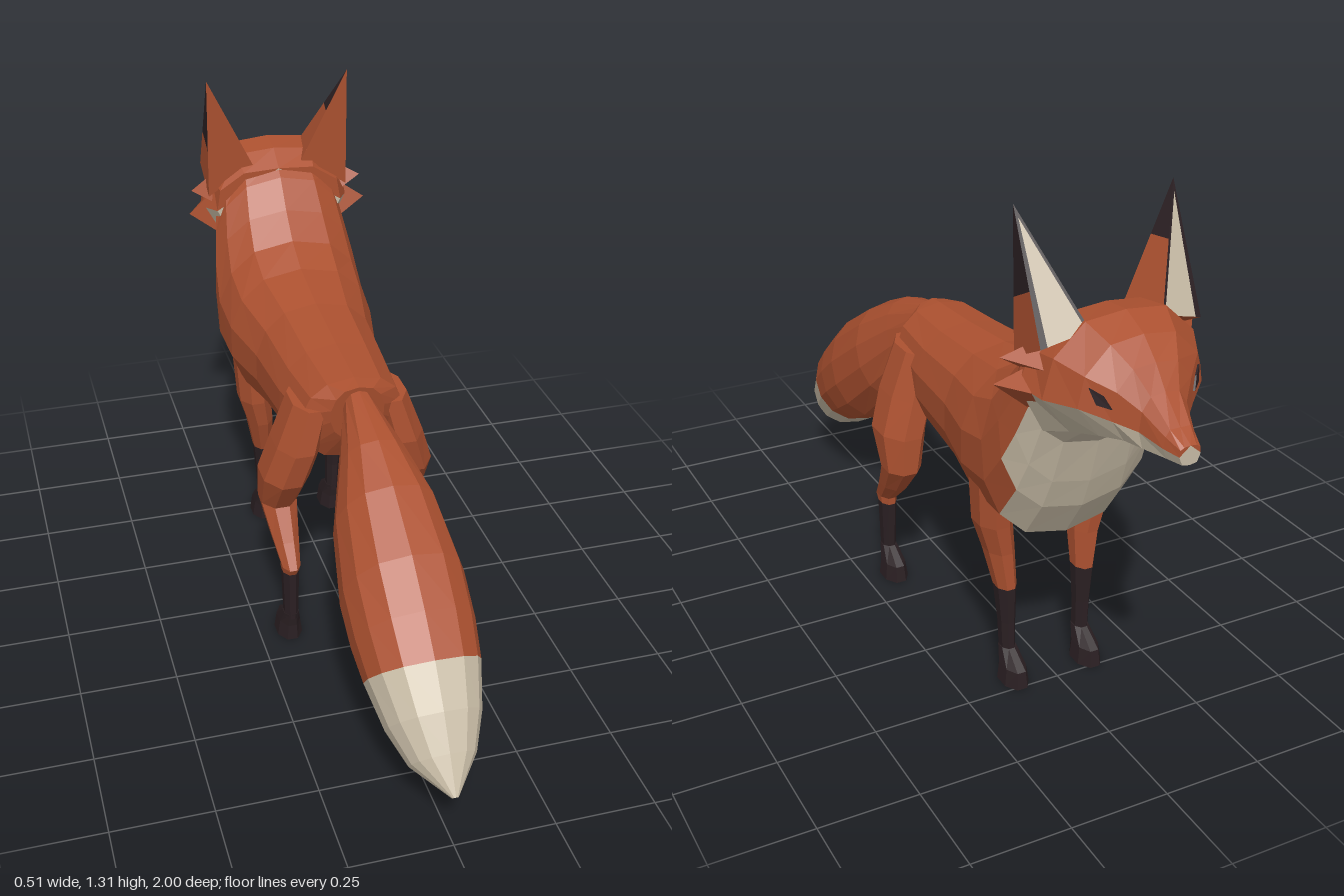
import * as THREE from 'three';
import { ConvexGeometry } from 'three/addons/geometries/ConvexGeometry.js';

const mat = (name, color) => {
  const m = new THREE.MeshStandardMaterial({ color });
  m.name = name;
  return m;
};
const V = (x, y, z) => new THREE.Vector3(x, y, z);

export function createModel() {
  const model = new THREE.Group();
  model.name = 'fox';
  const materials = [mat('russet fur', 0xac5130), mat('cream fur', 0xc8bca6), mat('dark fur', 0x2b2023)];

  // Flat-faced mesh from triangles sorted by material index
  function facetMesh(name, buckets, parent = model) {
    const geo = new THREE.BufferGeometry();
    const pts = buckets.flat();
    let volume = 0;
    for (let i = 0; i < pts.length; i += 3) volume += pts[i].dot(pts[i + 1].clone().cross(pts[i + 2]));
    if (volume < 0) for (let i = 0; i < pts.length; i += 3) [pts[i + 1], pts[i + 2]] = [pts[i + 2], pts[i + 1]];
    geo.setFromPoints(pts);
    geo.computeVertexNormals();
    let start = 0;
    buckets.forEach((b, i) => {
      if (b.length) geo.addGroup(start, b.length, i);
      start += b.length;
    });
    const mesh = new THREE.Mesh(geo, materials);
    mesh.name = name;
    parent.add(mesh);
    return mesh;
  }

  // Closed skin over a row of rings; pick(i, k) gives the colour of each face
  function loft(name, rings, pick, parent) {
    const out = [[], [], []];
    const n = rings[0].length;
    for (let i = 0; i < rings.length - 1; i++) {
      for (let k = 0; k < n; k++) {
        const j = (k + 1) % n;
        const [a, b, c, d] = [rings[i][k], rings[i][j], rings[i + 1][j], rings[i + 1][k]];
        out[pick(i, k)].push(a, b, c, a, c, d);
      }
    }
    const last = rings.length - 1;
    for (let k = 1; k < n - 1; k++) {
      out[pick(0, k)].push(rings[0][0], rings[0][k + 1], rings[0][k]);
      out[pick(last, k)].push(rings[last][0], rings[last][k], rings[last][k + 1]);
    }
    return facetMesh(name, out, parent);
  }

  // Tilted oval ring from its top and bottom points and half width
  const N = 14;
  const spineRing = ([tz, ty, bz, by, w]) => Array.from({ length: N }, (_, k) => {
    const t = (k / N) * Math.PI * 2;
    const s = Math.sin(t), c = Math.cos(t);
    const f = (1 - c) / 2;
    return V(w * Math.sign(s) * Math.abs(s) ** 0.8, ty + (by - ty) * f, tz + (bz - tz) * f);
  });

  // Body and neck, with a cream chest: top z, top y, bottom z, bottom y, half width
  const body = [
    [0.215, 0.77, 0.19, 0.61, 0.07], [0.17, 0.775, 0.14, 0.53, 0.135],
    [0, 0.785, 0, 0.485, 0.155], [-0.2, 0.805, -0.2, 0.46, 0.17],
    [-0.36, 0.835, -0.36, 0.437, 0.205], [-0.45, 0.88, -0.52, 0.435, 0.212],
    [-0.52, 0.945, -0.59, 0.54, 0.205], [-0.58, 1.02, -0.62, 0.62, 0.192],
    [-0.63, 1.06, -0.655, 0.74, 0.18], [-0.68, 1.07, -0.74, 0.81, 0.15],
  ].map(spineRing);
  loft('body', body, (i, k) => {
    const fromBelly = Math.abs(k + 0.5 - N / 2);
    return i >= 5 && fromBelly < (i > 5 ? 2.6 : 1.6) ? 1 : 0;
  });

  // Tail with a cream end
  const tail = [
    [0.21, 0.76, 0.2, 0.63, 0.04], [0.38, 0.715, 0.28, 0.53, 0.085],
    [0.5, 0.66, 0.39, 0.4, 0.13], [0.65, 0.565, 0.52, 0.285, 0.152],
    [0.75, 0.48, 0.6, 0.24, 0.15], [0.83, 0.4, 0.665, 0.21, 0.14],
    [0.9, 0.31, 0.77, 0.15, 0.115], [0.95, 0.23, 0.86, 0.118, 0.08],
    [1, 0.145, 0.99, 0.135, 0.008],
  ].map(spineRing);
  loft('tail', tail, (i) => (i >= 5 ? 1 : 0));

  // Head: z, crown y, then half outline from crown to chin, then chin y
  const headRows = [
    [-0.6, 1.04, [[0.1, 1.035], [0.17, 0.99], [0.18, 0.93], [0.12, 0.82]], 0.78],
    [-0.66, 1.08, [[0.11, 1.07], [0.18, 1.0], [0.215, 0.925], [0.15, 0.8]], 0.75],
    [-0.74, 1.09, [[0.1, 1.08], [0.175, 1.01], [0.2, 0.92], [0.13, 0.83]], 0.805],
    [-0.81, 1.06, [[0.08, 1.05], [0.14, 0.99], [0.155, 0.92], [0.1, 0.845]], 0.835],
    [-0.86, 1.015, [[0.055, 1.01], [0.092, 0.965], [0.1, 0.9], [0.07, 0.85]], 0.84],
    [-0.9, 0.965, [[0.035, 0.96], [0.055, 0.93], [0.06, 0.885], [0.05, 0.845]], 0.84],
    [-0.96, 0.91, [[0.025, 0.91], [0.035, 0.895], [0.04, 0.87], [0.03, 0.845]], 0.838],
    [-1, 0.887, [[0.015, 0.885], [0.024, 0.88], [0.026, 0.865], [0.018, 0.845]], 0.842],
  ];
  const head = headRows.map(([z, top, side, chin]) => [
    V(0, top, z), ...side.map(([x, y]) => V(x, y, z)),
    V(0, chin, z), ...side.slice().reverse().map(([x, y]) => V(-x, y, z)),
  ]);
  loft('head', head, (i, k) => (k >= 3 && k <= 6 ? 1 : 0));

  // Horizontal leg ring: y, centre z, centre x, half depth, half width
  const legRing = (s) => ([y, z, x, rz, rx]) => Array.from({ length: 8 }, (_, k) => {
    const t = ((k + 0.5) / 8) * Math.PI * 2;
    return V(s * x + rx * 1.06 * Math.cos(t), y, z + rz * 1.06 * Math.sin(t));
  });
  const legs = {
    front: {
      upper: [[0.6, -0.4, 0.14, 0.07, 0.05], [0.44, -0.395, 0.135, 0.06, 0.045],
        [0.36, -0.4, 0.12, 0.05, 0.036], [0.26, -0.418, 0.11, 0.036, 0.026]],
      lower: [[0.26, -0.418, 0.11, 0.036, 0.026], [0.16, -0.423, 0.107, 0.027, 0.02], [0.07, -0.425, 0.105, 0.025, 0.018]],
    },
    hind: {
      upper: [[0.7, 0.1, 0.1, 0.09, 0.05], [0.58, 0.1, 0.135, 0.1, 0.06],
        [0.48, 0.085, 0.165, 0.095, 0.062], [0.38, 0.05, 0.175, 0.06, 0.048],
        [0.3, 0.11, 0.172, 0.05, 0.035], [0.24, 0.165, 0.17, 0.038, 0.024], [0.22, 0.16, 0.17, 0.032, 0.022]],
      lower: [[0.22, 0.16, 0.17, 0.032, 0.022], [0.07, 0.16, 0.17, 0.025, 0.018]],
    },
  };

  // Ear: orange back, dark tip and rim, cream hollow
  function ear(side, s) {
    const P = (x, y, z) => V(s * x, y, z);
    const A = P(0.07, 1.05, -0.62), B = P(0.2, 0.97, -0.615);
    const D = P(0.2, 1.03, -0.73), E = P(0.09, 1.06, -0.745), T = P(0.198, 1.31, -0.598);
    const mid = (p, t) => p.clone().lerp(T, t);
    const out = [[A, T, B, A, B, D, A, D, E], [], []];
    for (const [p, q, t] of [[B, D, 0.4], [E, A, 0.55]]) {
      out[0].push(p, mid(p, t), mid(q, t), p, mid(q, t), q);
      out[2].push(mid(p, t), T, mid(q, t));
    }
    const d = D.clone().lerp(E, 0.14), e = E.clone().lerp(D, 0.06), t = mid(D.clone().lerp(E, 0.5), 0.9);
    out[1].push(d, t, e);
    out[2].push(D, T, d, d, T, t, e, t, T, e, T, E);
    facetMesh(side + 'Ear', out);
  }

  for (const [side, s] of [['left', 1], ['right', -1]]) {
    for (const [pair, { upper, lower }] of Object.entries(legs)) {
      const leg = new THREE.Group();
      leg.name = `${side}${pair === 'front' ? 'Front' : 'Hind'}Leg`;
      model.add(leg);
      loft('upperLeg', upper.map(legRing(s)), () => 0, leg);
      loft('lowerLeg', lower.map(legRing(s)), () => 2, leg);
      const [, z, x] = lower[lower.length - 1];
      loft('paw', [[0.085, z, x, 0.026, 0.02], [0.045, z - 0.03, x, 0.05, 0.028], [0, z - 0.033, x, 0.053, 0.034]]
        .map(legRing(s)), () => 2, leg);
    }
    ear(side, s);

    // Pointed cheek tufts
    const tufts = [
      [[0.16, 1.03, -0.67], [0.16, 0.93, -0.63], [0.14, 0.97, -0.78], [0.246, 0.985, -0.635]],
      [[0.16, 0.98, -0.67], [0.16, 0.84, -0.64], [0.15, 0.925, -0.8], [0.256, 0.92, -0.625]],
    ];
    for (const points of tufts) {
      const tuft = new THREE.Mesh(new ConvexGeometry(points.map(([x, y, z]) => V(s * x, y, z))), materials[0]);
      tuft.name = side + 'CheekTuft';
      model.add(tuft);
    }

    // Slanted eye lying just over the face
    const [a, b, c, d] = [head[3][2], head[4][2], head[4][3], head[3][3]];
    const onFace = (u, v, lift) => {
      const p = a.clone().lerp(b, u).lerp(d.clone().lerp(c, u), v);
      p.add(V(0.75, 0.2, -0.6).multiplyScalar(lift));
      return V(s * p.x, p.y, p.z);
    };
    const outline = [[0.2, 0.25], [0.65, 0.3], [0.95, 0.6], [0.5, 0.65]];
    loft(side + 'Eye', [-0.003, 0.005].map((h) => outline.map(([u, v]) => onFace(u, v, h))), () => 2);
  }
  return model;
}
